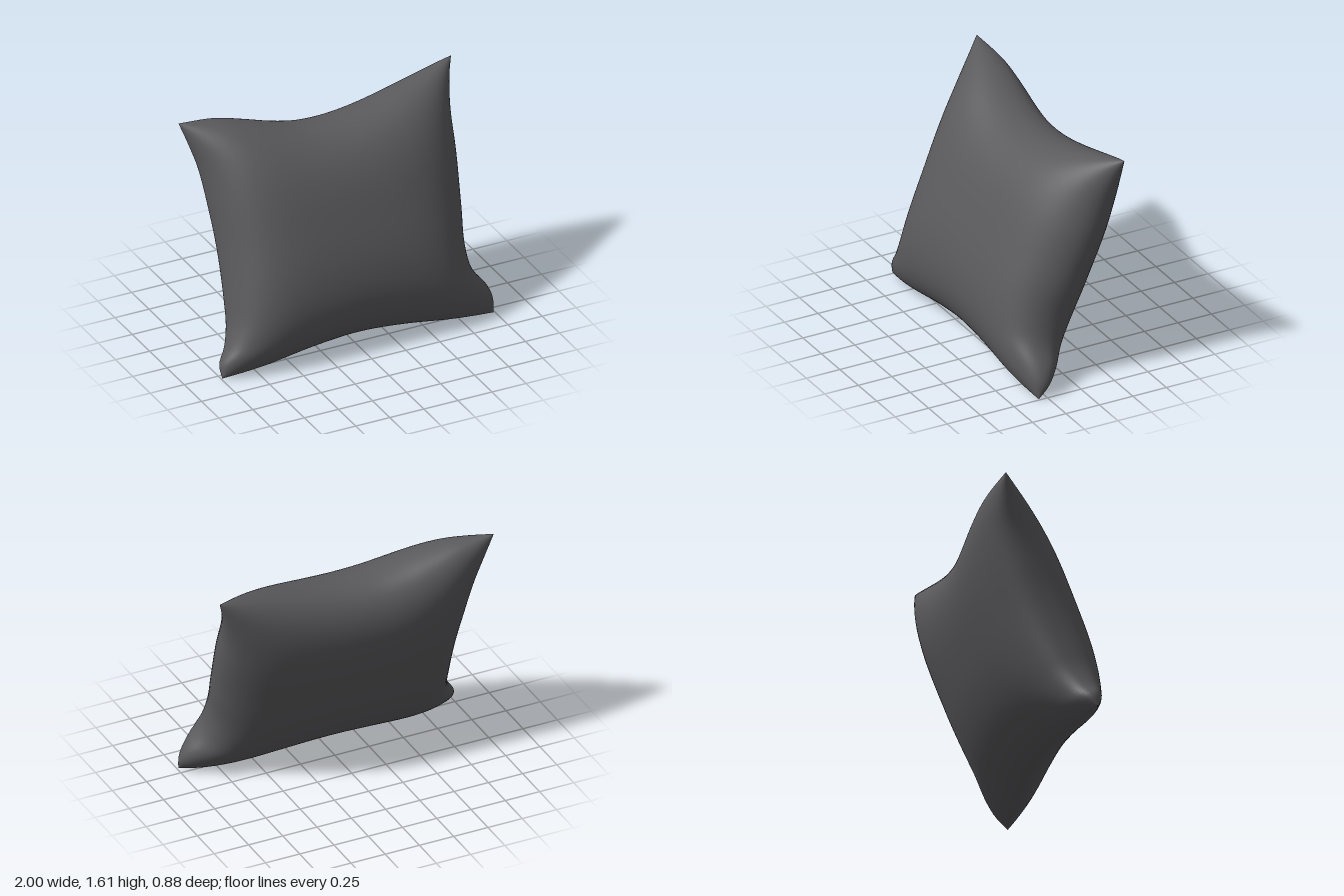
import * as THREE from 'three';
import { mergeGeometries, mergeVertices } from 'three/addons/utils/BufferGeometryUtils.js';

// Smooth curve through [position, value] pairs
function profile(pairs) {
  const curve = new THREE.CubicInterpolant(pairs.map(p => p[0]), pairs.map(p => p[1]), 1);
  return t => curve.evaluate(t)[0];
}

// Side seams by height: pinched at the waist, flaring into ears at the bottom corners
const seamRight = profile([[0, 0.99], [0.1, 1], [0.19, 0.965], [0.3, 0.88], [0.45, 0.85],
  [0.7, 0.875], [1.05, 0.91], [1.3, 0.925], [1.48, 0.96], [1.6, 1]]);
const seamLeft = profile([[0, 1], [0.09, 0.995], [0.17, 0.94], [0.3, 0.89], [0.45, 0.87],
  [0.75, 0.855], [1.0, 0.865], [1.3, 0.9], [1.48, 0.955], [1.6, 1]]);

// Top and bottom seams across the width, as distances from the middle
const seamTop = profile([[-1, 0.865], [-0.8, 0.84], [-0.6, 0.786], [-0.4, 0.732], [-0.2, 0.695],
  [0, 0.685], [0.2, 0.695], [0.4, 0.72], [0.6, 0.757], [0.8, 0.805], [1, 0.865]]);
const seamBottom = profile([[-1, 0.855], [-0.8, 0.842], [-0.4, 0.795], [0, 0.772],
  [0.4, 0.795], [0.8, 0.845], [1, 0.865]]);

// One half of the cushion: a grid puffed out from the leaning seam plane
function panel(puff, flip, lowerRound, leftRound) {
  const geo = new THREE.PlaneGeometry(2, 2, 56, 56);
  const pos = geo.attributes.position;
  const up = new THREE.Vector2(0.93, -0.366); // (y, z) along the leaning plane
  const out = new THREE.Vector2(0.366, 0.93); // (y, z) normal of that plane
  for (let i = 0; i < pos.count; i++) {
    // Rows bunch up at the rim, where the surface turns quickly
    const u = Math.sin(pos.getX(i) * Math.PI / 2) * flip;
    const v = Math.sin(pos.getY(i) * Math.PI / 2);
    const a = Math.abs(u);
    const width = (u > 0 ? seamRight : seamLeft)(0.8 + 0.8 * v);
    const x = Math.sign(u) * (0.86 * a + (width - 0.86) * a ** 5);
    const s = v * (v > 0 ? seamTop : seamBottom)(u);
    // Crowned in the middle, fuller towards the bottom ears, corners nudged forward
    const sideRound = 1 - a ** ((u > 0 ? 4.6 : leftRound) + 3 * Math.max(0, -v) ** 2);
    const endRound = 1 - Math.abs(v) ** (v > 0 ? 3.1 : lowerRound);
    const crown = puff * (1 - 0.11 * a * a);
    const d = crown * Math.sqrt(Math.max(0, sideRound * endRound)) + 0.02 * (a * v) ** 4;
    pos.setXYZ(i, x, 0.8 + up.x * s + out.x * d, up.y * s + out.y * d);
  }
  geo.deleteAttribute('uv');
  geo.deleteAttribute('normal');
  return geo;
}

export function createModel() {
  const group = new THREE.Group();
  group.name = 'cushion';
  const fabric = new THREE.MeshStandardMaterial({ color: 0x5a595c });
  fabric.name = 'charcoal fabric';

  // Front and back panels joined along the seam
  const front = panel(0.375, 1, 2.5, 5.5);
  const back = panel(-0.305, -1, 2.3, 4.6);
  const geo = mergeVertices(mergeGeometries([front, back]), 1e-4);
  geo.computeVertexNormals();
  geo.computeBoundingBox();
  const box = geo.boundingBox;
  geo.translate(0, -box.min.y, -(box.min.z + box.max.z) / 2);

  const cover = new THREE.Mesh(geo, fabric);
  cover.name = 'cushionCover';
  group.add(cover);
  return group;
}
